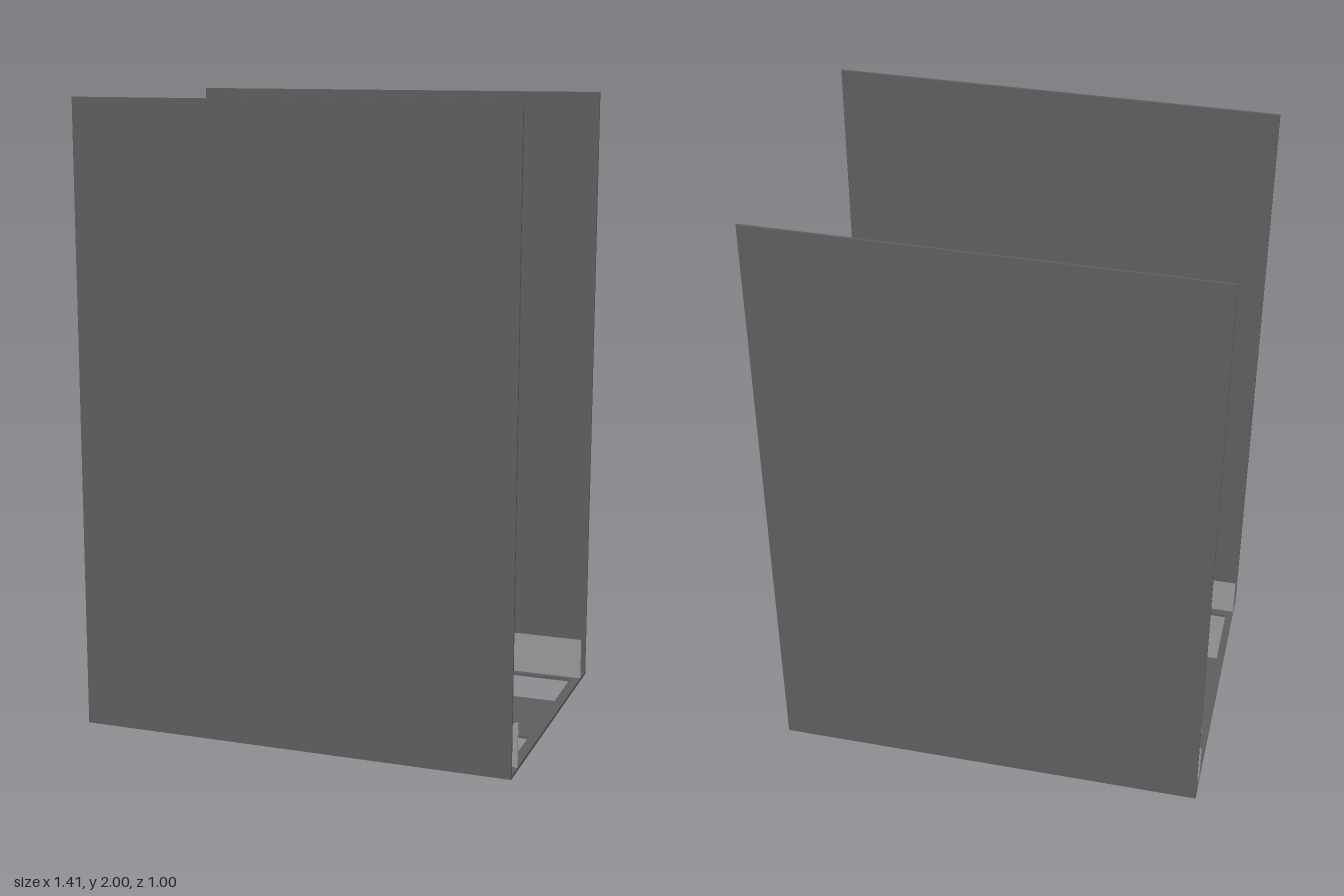
import * as THREE from 'three';

const paint = (color) => new THREE.MeshStandardMaterial({ color, flatShading: true, side: THREE.DoubleSide });
const dark = paint(0x5e5e5e);
const light = paint(0x999999);

const W = 0.704; // half width
const D = 0.502; // half depth

function add(parent, name, material, geometry, x = 0, y = 0, z = 0) {
  const mesh = new THREE.Mesh(geometry, material);
  mesh.name = name;
  mesh.position.set(x, y, z);
  parent.add(mesh);
  return mesh;
}

const box = (w, h, d) => new THREE.BoxGeometry(w, h, d);

// Square tapered block, given as full widths at top and bottom
function taper(top, bottom, height) {
  return new THREE.CylinderGeometry(top * Math.SQRT1_2, bottom * Math.SQRT1_2, height, 4).rotateY(Math.PI / 4);
}

// Thin square bar between two points
function bar(parent, name, a, b, t = 0.004) {
  const dir = b.clone().sub(a);
  const mesh = add(parent, name, dark, box(t, dir.length(), t));
  mesh.position.copy(a).add(b).multiplyScalar(0.5);
  mesh.quaternion.setFromUnitVectors(new THREE.Vector3(0, 1, 0), dir.normalize());
}

// Corner of a square ring of the given width
function corner(i, width, y) {
  const a = Math.PI / 4 + i * Math.PI / 2;
  const r = width * Math.SQRT1_2;
  return new THREE.Vector3(r * Math.cos(a), y, r * Math.sin(a));
}

function streetLamp() {
  const lamp = new THREE.Group();
  lamp.name = 'streetLamp';
  add(lamp, 'lampBase', light, box(0.06, 0.14, 0.06), 0, 0.08, 0);
  add(lamp, 'lampPole', light, taper(0.03, 0.046, 0.375), 0, 0.3375, 0);
  add(lamp, 'lanternFloor', dark, box(0.034, 0.005, 0.034), 0, 0.5275, 0);
  // Open lantern frame: flared body, then a sloping roof
  const rings = [[0.034, 0.53], [0.054, 0.582], [0.018, 0.625]];
  for (let i = 0; i < 4; i++) {
    for (let k = 0; k < rings.length; k++) {
      const [w, y] = rings[k];
      bar(lamp, 'lanternRing', corner(i, w, y), corner(i + 1, w, y));
      if (k < 2) bar(lamp, 'lanternEdge', corner(i, w, y), corner(i, ...rings[k + 1]));
    }
  }
  add(lamp, 'lanternFinial', dark, taper(0.01, 0.02, 0.014), 0, 0.63, 0);
  return lamp;
}

// One side of the street: lamps, railing and house wall
function streetSide() {
  const side = new THREE.Group();
  side.name = 'streetSide';
  add(side, 'wall', dark, box(2 * W, 1.995, 0.008), 0, 1.0025, D - 0.004);
  for (const x of [-0.379, 0.312]) {
    const lamp = streetLamp();
    lamp.position.set(x, 0, 0.459);
    side.add(lamp);
  }
  // Two solid railing panels meeting at a small post
  for (const [x0, x1] of [[-W, -0.035], [-0.035, W]]) {
    add(side, 'railingPanel', light, new THREE.PlaneGeometry(x1 - x0, 0.138), (x0 + x1) / 2, 0.079, 0.423);
  }
  for (const x of [-0.035, W - 0.006]) add(side, 'railingPost', light, box(0.01, 0.142, 0.01), x, 0.079, 0.423);
  return side;
}

export function createModel() {
  const model = new THREE.Group();
  model.name = 'streetWithTwoChannels';

  // Floor slab with two long openings; shape y becomes -z once laid flat
  const rect = (C, x0, x1, z0, z1) => new C([[x0, z0], [x1, z0], [x1, z1], [x0, z1]].map(([x, z]) => new THREE.Vector2(x, -z)));
  const slab = rect(THREE.Shape, -W, W, -D, D);
  slab.holes.push(
    rect(THREE.Path, -0.68, 0.673, -0.406, -0.175),
    rect(THREE.Path, -0.68, 0.673, 0.164, 0.398),
  );
  const floor = new THREE.ExtrudeGeometry(slab, { depth: 0.01, bevelEnabled: false });
  add(model, 'floor', dark, floor.rotateX(-Math.PI / 2));

  // The back side is the front side turned half round
  for (const angle of [0, Math.PI]) {
    const side = streetSide();
    side.rotation.y = angle;
    model.add(side);
  }
  return model;
}
